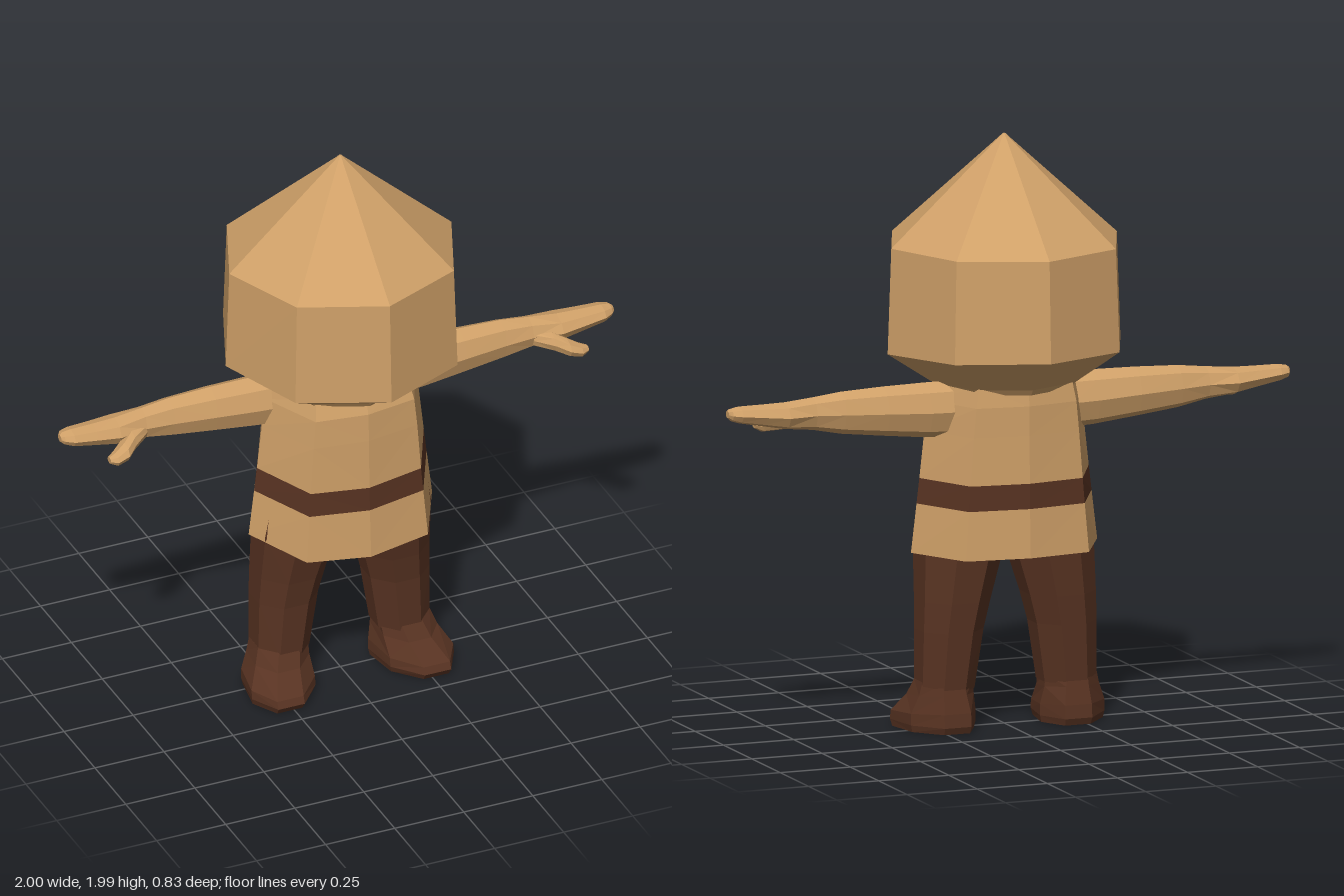
import * as THREE from 'three';

const mat = (name, color) => {
  const m = new THREE.MeshStandardMaterial({ color, flatShading: true });
  m.name = name;
  return m;
};

// Skin a list of closed rings of points, capping both ends if asked.
function loft(name, rings, material, { capStart = true, capEnd = true, mirror = false } = {}) {
  const pos = [];
  const tri = (a, b, c) => {
    for (const p of mirror ? [a, c, b] : [a, b, c]) pos.push(mirror ? -p.x : p.x, p.y, p.z);
  };
  const n = rings[0].length;
  for (let i = 0; i < rings.length - 1; i++) {
    for (let j = 0; j < n; j++) {
      const k = (j + 1) % n;
      const [a, b, c, d] = [rings[i][j], rings[i][k], rings[i + 1][k], rings[i + 1][j]];
      // alternate the diagonals so creases form symmetric folds
      if (j % 2) { tri(a, b, d); tri(b, c, d); } else { tri(a, b, c); tri(a, c, d); }
    }
  }
  const cap = (ring, up) => {
    const mid = ring.reduce((s, p) => s.add(p), new THREE.Vector3()).divideScalar(n);
    ring.forEach((p, j) => {
      const q = ring[(j + 1) % n];
      up ? tri(mid, p, q) : tri(mid, q, p);
    });
  };
  if (capStart) cap(rings[0], false);
  if (capEnd) cap(rings[rings.length - 1], true);
  const g = new THREE.BufferGeometry();
  g.setAttribute('position', new THREE.Float32BufferAttribute(pos, 3));
  g.computeVertexNormals();
  const mesh = new THREE.Mesh(g, material);
  mesh.name = name;
  return mesh;
}

const around = (n, f) => Array.from({ length: n }, (_, i) => f((i / n) * Math.PI * 2));

// Horizontal tunic ring with broad front and back; the front middle may dip.
const tunicRing = ([y, w, front, back, dip = 0]) => around(8, (t) => {
  const s = Math.sin(t), c = Math.cos(t);
  const corner = Math.abs(s * c) > 0.1;
  const kx = corner ? 0.66 * Math.sign(s) : Math.round(s);
  const kz = corner ? 0.88 * Math.sign(c) : Math.round(c);
  return new THREE.Vector3(kx * w, y - dip * Math.max(0, c) ** 2, kz * (kz > 0 ? front : back));
});

// Horizontal leg ring between x0..x1 and z0..z1, turned outwards by splay.
const legRing = ([y, x0, x1, z0, z1, splay = 0, slope = 0]) => around(8, (t) => {
  const a = t + Math.PI / 8;
  const c = Math.cos(a) * 1.08, s = Math.sin(a) * 1.08;
  return new THREE.Vector3(
    (x0 + x1) / 2 + (s * (x1 - x0)) / 2 + splay * c,
    y - slope * c,
    (z0 + z1) / 2 + (c * (z1 - z0)) / 2
  );
});

// Upright arm ring at x between y0..y1 and z0..z1.
const armRing = ([x, y0, y1, z0, z1]) => around(8, (t) => new THREE.Vector3(
  x,
  (y0 + y1) / 2 + (Math.cos(t) * (y1 - y0)) / 2,
  (z0 + z1) / 2 + (Math.sin(t) * (z1 - z0)) / 2
));

export function createModel() {
  const model = new THREE.Group();
  model.name = 'hoodedFigure';
  const tan = mat('tan cloth', 0xcfa068);
  const brown = mat('dark brown leather', 0x583322);

  // Pointed octagonal hood
  const hood = [[1.16, 0.24], [1.18, 0.255], [1.285, 0.415], [1.64, 0.402], [1.99, 0.015], [2, 0.005]];
  model.add(loft('hood', hood.map(([y, r]) => around(8, (t) =>
    new THREE.Vector3(Math.sin(t) * r, y - (y > 1.2 && y < 1.4 ? 0.012 * Math.cos(t) : 0), Math.cos(t) * r))), tan));

  // Tunic in three bands, with the hem turned in underneath
  const beltLow = [0.775, 0.312, 0.24, 0.23, 0.02];
  const beltHigh = [0.86, 0.302, 0.236, 0.228, 0.02];
  model.add(loft('tunicSkirt', [
    [0.68, 0.29, 0.215, 0.21], [0.615, 0.315, 0.235, 0.22, 0.03],
    [0.61, 0.332, 0.25, 0.236, 0.03], beltLow,
  ].map(tunicRing), tan, { capEnd: false }));
  model.add(loft('belt', [beltLow, beltHigh].map(tunicRing), brown, { capStart: false, capEnd: false }));
  model.add(loft('tunicBody', [
    beltHigh, [1.02, 0.284, 0.232, 0.225], [1.12, 0.27, 0.228, 0.225], [1.19, 0.252, 0.2, 0.215],
  ].map(tunicRing), tan, { capStart: false }));

  for (const mirror of [false, true]) {
    const side = mirror ? 'right' : 'left';

    // Sleeve tapering to a flat mitten hand
    model.add(loft(side + 'Arm', [
      [0.2, 1.0, 1.19, -0.115, 0.035], [0.3, 1.005, 1.19, -0.115, 0.03],
      [0.45, 1.022, 1.188, -0.11, 0.02], [0.6, 1.04, 1.182, -0.1, 0.008],
      [0.7, 1.06, 1.17, -0.092, 0.005], [0.8, 1.07, 1.16, -0.102, 0.022],
      [0.88, 1.085, 1.158, -0.09, 0.015], [0.96, 1.1, 1.157, -0.08, 0.008],
      [0.99, 1.11, 1.152, -0.068, -0.008], [1.0, 1.12, 1.145, -0.05, -0.02],
    ].map(armRing), tan, { mirror }));
    model.add(loft(side + 'Thumb', [
      [0.7, 1.075, 1.13, -0.04, 0.005], [0.76, 1.06, 1.125, -0.03, 0.05],
      [0.8, 1.05, 1.11, 0.0, 0.088], [0.84, 1.045, 1.09, 0.03, 0.092],
      [0.865, 1.058, 1.08, 0.05, 0.08],
    ].map(armRing), tan, { mirror }));

    // Trouser leg
    model.add(loft(side + 'Leg', [
      [0.15, 0.125, 0.31, -0.105, 0.085], [0.35, 0.095, 0.308, -0.118, 0.095],
      [0.45, 0.07, 0.305, -0.125, 0.11], [0.62, 0.02, 0.3, -0.132, 0.145],
      [0.75, -0.01, 0.28, -0.13, 0.15],
    ].map(legRing), brown, { mirror }));

    // Foot with the toe turned slightly outwards
    model.add(loft(side + 'Foot', [
      [0.012, 0.13, 0.35, -0.12, 0.185, 0.025], [0.035, 0.125, 0.355, -0.13, 0.2, 0.025],
      [0.07, 0.125, 0.355, -0.125, 0.19, 0.025, 0.01], [0.13, 0.13, 0.325, -0.11, 0.115, 0.01, 0.01],
      [0.18, 0.13, 0.31, -0.1, 0.08],
    ].map(legRing), brown, { mirror }));
  }

  // Seat of the trousers closing the gap between the legs
  const seat = new THREE.Mesh(new THREE.BoxGeometry(0.36, 0.1, 0.22), brown);
  seat.name = 'trouserSeat';
  seat.position.set(0, 0.66, 0);
  model.add(seat);

  // Stand the model on the ground
  model.position.y = 0;
  return model;
}
